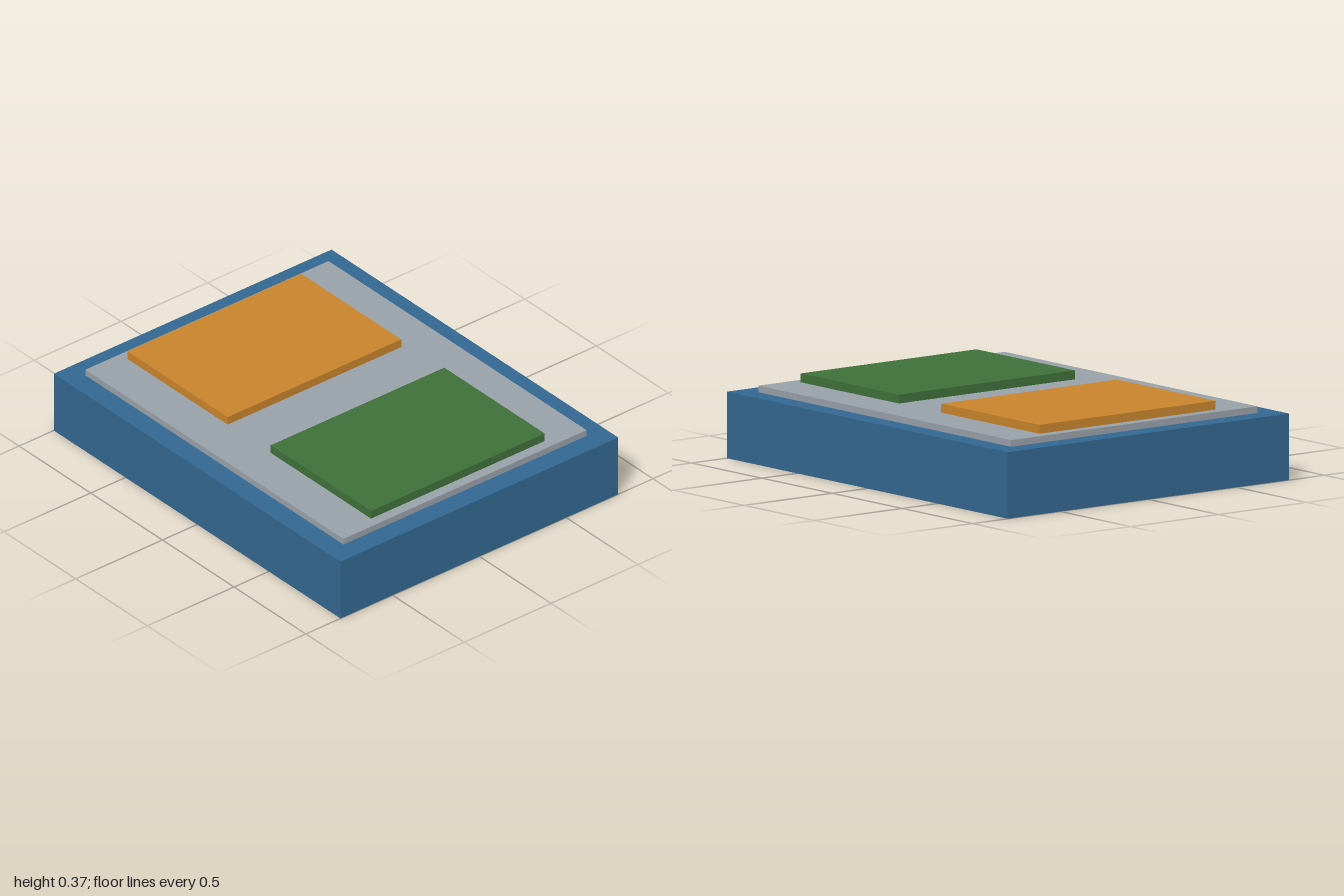
import * as THREE from 'three';

function material(name, color) {
  const m = new THREE.MeshStandardMaterial({ color });
  m.name = name;
  return m;
}

export function createModel() {
  const blue = material('blue', 0x336790);
  const grey = material('grey', 0x98a0a8);
  const orange = material('orange', 0xc8832b);
  const green = material('green', 0x3f703a);

  const model = new THREE.Group();
  model.name = 'layeredBlock';

  // Adds a box whose underside rests at the given height
  function slab(name, mat, width, height, depth, x, bottom) {
    const mesh = new THREE.Mesh(new THREE.BoxGeometry(width, height, depth), mat);
    mesh.name = name;
    mesh.position.set(x, bottom + height / 2, 0);
    model.add(mesh);
  }

  // Base block and the plate on top of it
  slab('base', blue, 2, 0.3, 1.6, 0, 0);
  slab('topPlate', grey, 1.8, 0.03, 1.4, 0, 0.3);

  // Raised pads, one on each side
  slab('rightPad', orange, 0.7, 0.04, 1, -0.5, 0.33);
  slab('leftPad', green, 0.7, 0.04, 1, 0.5, 0.33);

  return model;
}
